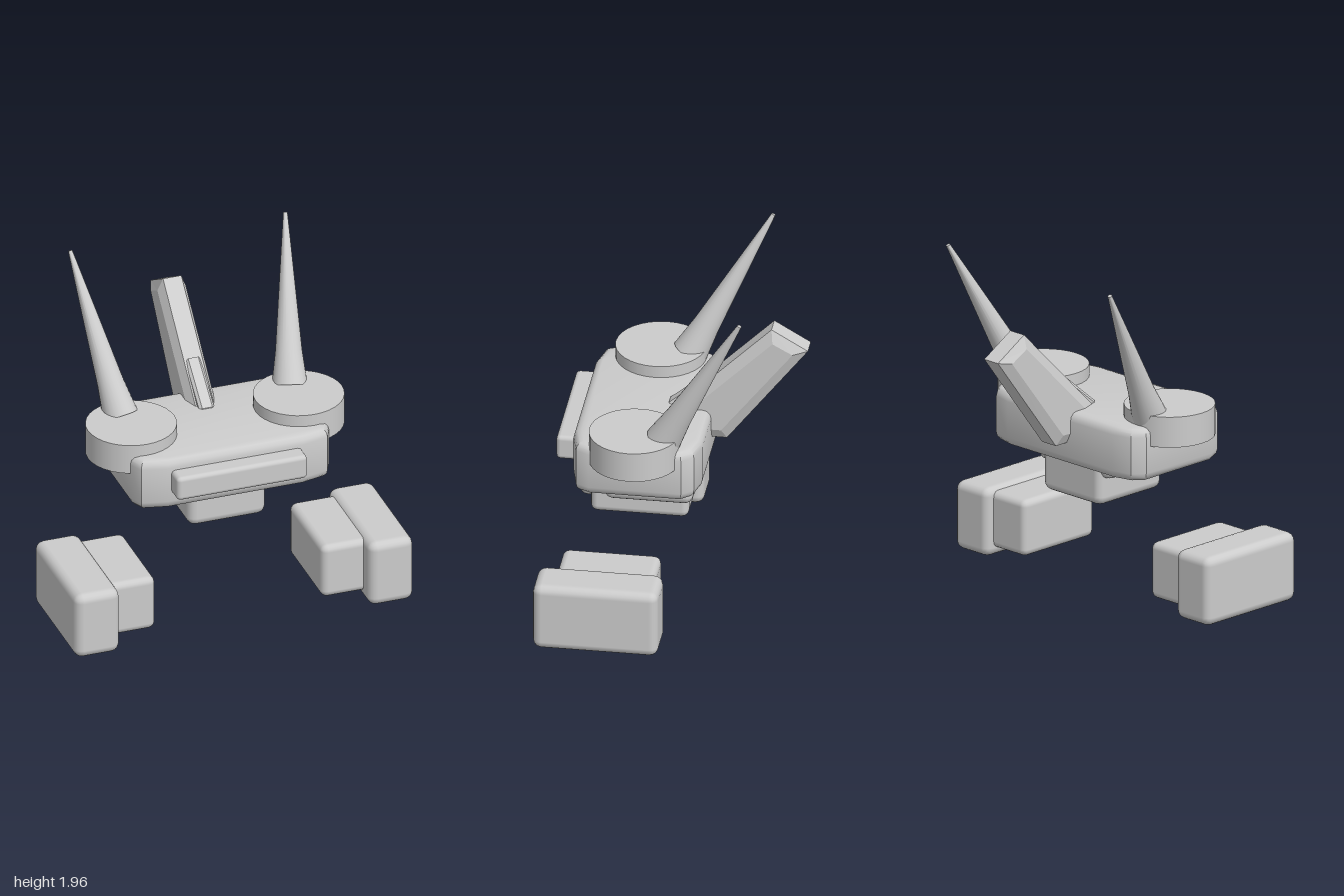
import * as THREE from 'three';
import { toCreasedNormals } from 'three/addons/utils/BufferGeometryUtils.js';
import { RoundedBoxGeometry } from 'three/addons/geometries/RoundedBoxGeometry.js';

export function createModel() {
  const model = new THREE.Group();
  model.name = 'floatingRobot';
  const grey = new THREE.MeshStandardMaterial({ color: 0xcccccc });
  grey.name = 'lightGrey';

  const add = (name, geometry) => {
    const mesh = new THREE.Mesh(geometry, grey);
    mesh.name = name;
    model.add(mesh);
    return mesh;
  };

  // Rounded box given by its limits on each axis
  const block = (name, [x0, x1], [y0, y1], [z0, z1], r) => {
    const geo = new RoundedBoxGeometry(x1 - x0, y1 - y0, z1 - z0, 2, r);
    geo.translate((x0 + x1) / 2, (y0 + y1) / 2, (z0 + z1) / 2);
    return add(name, geo);
  };

  // Bevelled extrusion whose outside matches the outline, centred on depth
  const slab = (points, depth, thickness, size, segments) => {
    const shape = new THREE.Shape(points.map(([a, b]) => new THREE.Vector2(a, b)));
    const geo = new THREE.ExtrudeGeometry(shape, {
      depth: depth - 2 * thickness, bevelEnabled: true, bevelThickness: thickness,
      bevelSize: size, bevelOffset: -size, bevelSegments: segments,
    });
    return geo.translate(0, 0, thickness - depth / 2);
  };

  // Body: plan outline with tapered corners, rounded along top and bottom
  const half = [[0.585, -0.07], [0.585, 0.45], [0.55, 0.525], [0.4, 0.56]];
  const back = [[0.41, -0.165], [0.53, -0.135]];
  const rightSide = [...back, ...half];
  const plan = [...rightSide, ...rightSide.map(([x, z]) => [-x, z]).reverse()];
  const body = slab(plan, 0.31, 0.05, 0.045, 3);
  body.rotateX(Math.PI / 2).translate(0, 0.93, 0);
  add('body', toCreasedNormals(body, 0.6));

  block('frontBar', [-0.385, 0.385], [0.875, 1.02], [0.5, 0.662], 0.025);
  block('neckCollar', [-0.285, 0.285], [0.705, 0.85], [-0.06, 0.4], 0.045);
  block('lowerBox', [-0.23, 0.23], [0.545, 0.85], [-0.08, 0.42], 0.05);

  // Side profile (z, y) turned into a part that runs across x
  const fin = (name, profile, width, thickness, size) => {
    const geo = slab(profile.map(([z, y]) => [-z, y]), width, thickness, size, 1);
    add(name, geo.rotateY(Math.PI / 2));
  };
  fin('backFin', [[-0.5, 1.615], [-0.705, 1.495], [-0.25, 0.905], [-0.05, 0.905], [0.04, 1.08]],
    0.168, 0.03, 0.06);
  fin('finRidge', [[-0.155, 1.285], [-0.18, 1.26], [-0.1, 1.0], [0.08, 1.0], [0.08, 1.09]],
    0.09, 0.015, 0.015);

  // Antenna profile: short wide base, then a long taper
  const antennaProfile = [[0, 0], [0.1, 0], [0.075, 0.19], [0.012, 0.96], [0, 0.96]]
    .map(([r, h]) => new THREE.Vector2(r, h));
  const antennaGeo = toCreasedNormals(new THREE.LatheGeometry(antennaProfile, 24), 0.6);
  const up = new THREE.Vector3(0, 1, 0);

  for (const side of [1, -1]) {
    const label = side > 0 ? 'left' : 'right';
    const span = (a, b) => (side > 0 ? [a, b] : [-b, -a]);

    // Shoulder disc
    const disc = add(label + 'ShoulderDisc', new THREE.CylinderGeometry(0.255, 0.255, 0.178, 32));
    disc.position.set(side * 0.495, 1.066, 0.203);

    // Antenna leaning back and outward
    const antenna = add(label + 'Antenna', antennaGeo);
    antenna.position.set(side * 0.5, 1.12, 0.04);
    const axis = new THREE.Vector3(side * 0.135, 0.835, -0.446).normalize();
    antenna.quaternion.setFromUnitVectors(up, axis);

    // Detached hand: large outer block and smaller inner block
    block(label + 'OuterHand', span(0.735, 1), [0, 0.4], [0, 0.705], 0.05);
    block(label + 'InnerHand', span(0.49, 0.8), [0.05, 0.378], [0.05, 0.602], 0.04);
  }
  return model;
}
